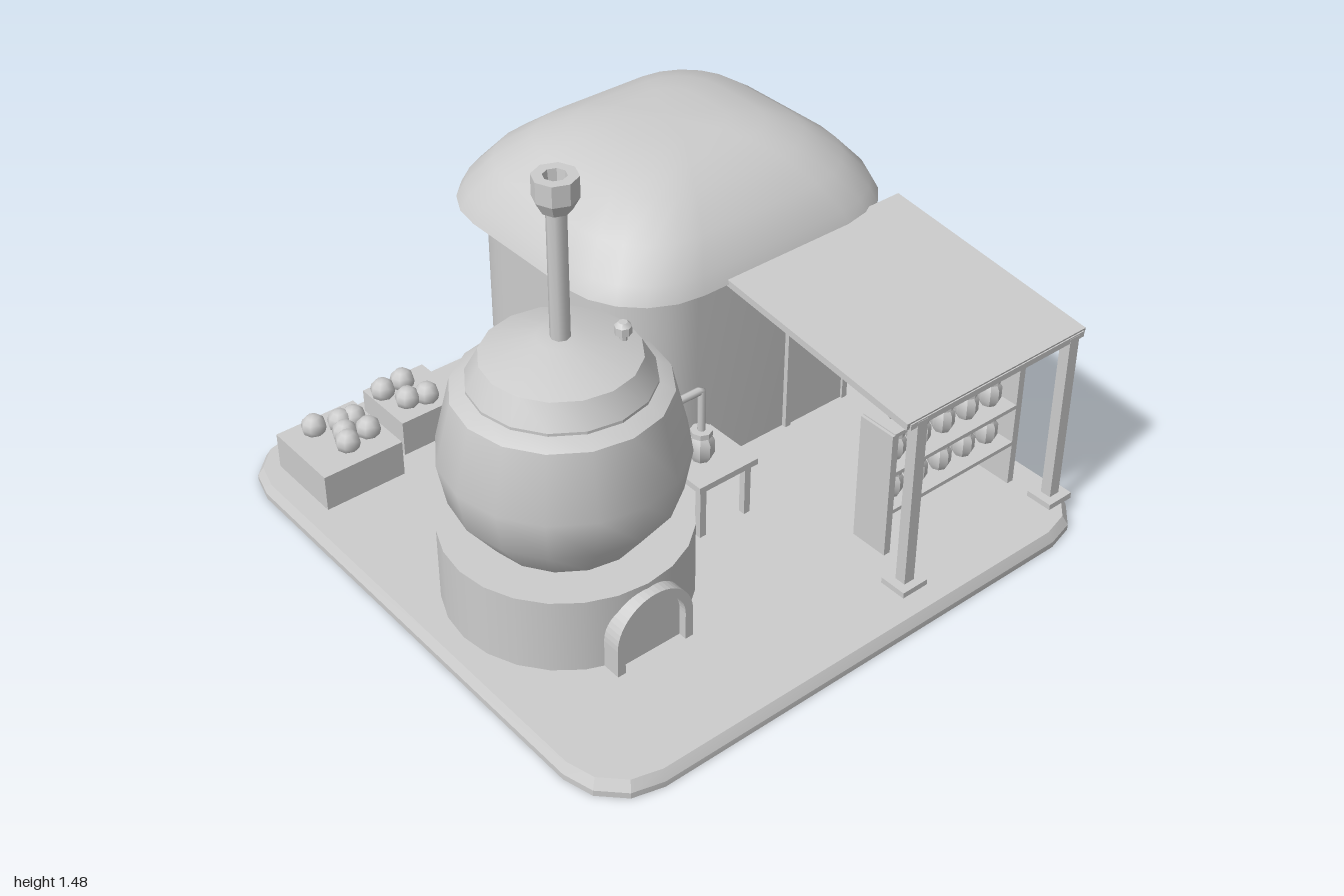
import * as THREE from 'three';
import { toCreasedNormals } from 'three/addons/utils/BufferGeometryUtils.js';

const clay = new THREE.MeshStandardMaterial({ color: 0xcccccc });
clay.name = 'plain grey';

function add(parent, name, geo, x = 0, y = 0, z = 0) {
  const m = new THREE.Mesh(geo, clay);
  m.name = name;
  m.position.set(x, y, z);
  parent.add(m);
  return m;
}

// box given by its minimum and maximum corners
function slab(parent, name, x0, x1, y0, y1, z0, z1) {
  return add(parent, name, new THREE.BoxGeometry(x1 - x0, y1 - y0, z1 - z0),
    (x0 + x1) / 2, (y0 + y1) / 2, (z0 + z1) / 2);
}

// stack of rounded rectangles [y, half width, half depth, corner radius], capped
function loft(sections, steps, crease) {
  const pos = [], idx = [], n = 4 * (steps + 1);
  for (const [y, hx, hz, r] of sections) {
    for (let q = 0; q < 4; q++) for (let s = 0; s <= steps; s++) {
      const a = (q + s / steps) * Math.PI / 2;
      const sx = q === 0 || q === 3 ? 1 : -1, sz = q < 2 ? 1 : -1;
      pos.push(sx * (hx - r) + r * Math.cos(a), y, sz * (hz - r) + r * Math.sin(a));
    }
  }
  const last = sections.length - 1;
  for (let k = 0; k < last; k++) for (let i = 0; i < n; i++) {
    const a = k * n + i, b = k * n + (i + 1) % n;
    idx.push(a, a + n, b, b, a + n, b + n);
  }
  pos.push(0, sections[0][0], 0, 0, sections[last][0], 0);
  const bottom = (last + 1) * n, top = bottom + 1;
  for (let i = 0; i < n; i++) {
    const j = (i + 1) % n;
    idx.push(bottom, i, j, top, last * n + j, last * n + i);
  }
  const g = new THREE.BufferGeometry();
  g.setAttribute('position', new THREE.Float32BufferAttribute(pos, 3));
  g.setIndex(idx);
  return toCreasedNormals(g, crease);
}

function lathe(points, sides, crease = 0.6) {
  const g = new THREE.LatheGeometry(points.map(p => new THREE.Vector2(...p)), sides);
  return toCreasedNormals(g, crease);
}

// arch-topped outline standing on y = 0
function archPath(target, r, straight) {
  target.moveTo(r, 0);
  target.lineTo(r, straight);
  target.absarc(0, straight, r, 0, Math.PI, false);
  target.lineTo(-r, 0);
  target.closePath();
  return target;
}

// arch frame with a recessed panel
function archDoor(parent, name, R, r, straight, depth, x, y, z) {
  const g = new THREE.Group();
  g.name = name;
  g.position.set(x, y, z);
  parent.add(g);
  const frame = archPath(new THREE.Shape(), R, straight);
  frame.holes.push(archPath(new THREE.Path(), r, straight));
  const opts = { bevelEnabled: false, curveSegments: 12 };
  add(g, 'archFrame', new THREE.ExtrudeGeometry(frame, { ...opts, depth }));
  add(g, 'archPanel', new THREE.ExtrudeGeometry(archPath(new THREE.Shape(), r, straight), { ...opts, depth: depth * 0.6 }));
  return g;
}

const jarGeo = lathe([[0, 0], [0.026, 0], [0.038, 0.025], [0.038, 0.065], [0.027, 0.083],
  [0.032, 0.083], [0.032, 0.1], [0, 0.1]], 8);

export function createModel() {
  const model = new THREE.Group();
  model.name = 'potionBrewery';
  const part = name => {
    const g = new THREE.Group();
    g.name = name;
    model.add(g);
    return g;
  };

  // ground plate
  add(model, 'groundPlate', loft([[0, 0.985, 0.985, 0.2], [0.02, 0.985, 0.985, 0.2], [0.052, 0.968, 0.968, 0.19]], 3, 0.3),
    -0.015, 0, -0.005);

  // house with rounded walls and domed roof
  const house = part('house');
  add(house, 'walls', loft([[0.05, 0.525, 0.465, 0.25], [0.8, 0.525, 0.465, 0.25]], 8, 0.6), 0.395, 0, -0.44);
  add(house, 'roof', loft([[0.775, 0.605, 0.542, 0.3], [0.83, 0.58, 0.518, 0.29], [0.92, 0.505, 0.45, 0.27],
    [1.0, 0.395, 0.345, 0.22], [1.04, 0.28, 0.25, 0.16], [1.058, 0.16, 0.16, 0.09]], 5, 0.75), 0.395, 0, -0.453);
  archDoor(house, 'door', 0.14, 0.118, 0.45, 0.022, 0.635, 0.05, 0.02);
  add(house, 'doorKnob', new THREE.SphereGeometry(0.013, 8, 6), 0.705, 0.31, 0.045);

  // square side window
  const sideWindow = new THREE.Group();
  sideWindow.name = 'sideWindow';
  house.add(sideWindow);
  slab(sideWindow, 'windowPane', 0.915, 0.924, 0.38, 0.64, -0.57, -0.33);
  for (const z of [-0.58, -0.335]) slab(sideWindow, 'windowJamb', 0.91, 0.937, 0.365, 0.65, z, z + 0.015);
  for (const y of [0.365, 0.635]) slab(sideWindow, 'windowRail', 0.91, 0.94, y, y + 0.018, -0.58, -0.32);

  // round back window
  add(house, 'roundWindowFrame', new THREE.TorusGeometry(0.1, 0.016, 6, 20), 0.395, 0.52, -0.907);
  add(house, 'roundWindowPane', new THREE.CylinderGeometry(0.1, 0.1, 0.008, 20), 0.395, 0.52, -0.907)
    .rotation.x = Math.PI / 2;

  // still: stone stove, pot, lid and chimney
  const still = part('still');
  still.position.set(-0.53, 0, 0.192);
  add(still, 'stove', new THREE.CylinderGeometry(0.385, 0.385, 0.255, 24), 0, 0.18, 0);
  archDoor(still, 'stoveMouth', 0.14, 0.112, 0.1, 0.07, 0, 0.05, 0.348);
  add(still, 'pot', lathe([[0, 0.3], [0.25, 0.305], [0.35, 0.44], [0.376, 0.58], [0.325, 0.79],
    [0.27, 0.82], [0, 0.83]], 16, 0.8));
  add(still, 'lid', lathe([[0.278, 0.81], [0.278, 0.825], [0.237, 0.9], [0.07, 0.957], [0, 0.957]], 16, 0.35));
  add(still, 'chimney', new THREE.CylinderGeometry(0.03, 0.03, 0.47, 8), 0, 1.17, 0);
  add(still, 'chimneyCap', lathe([[0.03, 1.37], [0.045, 1.37], [0.067, 1.41], [0.067, 1.476], [0.035, 1.476],
    [0.03, 1.43], [0, 1.43]], 8, 0.3));
  add(still, 'lidValve', lathe([[0.012, 0.9], [0.012, 0.935], [0.026, 0.94], [0.026, 0.965], [0.014, 0.977], [0, 0.977]], 8),
    0.16, 0, 0.08);

  // spout pipe dripping into a jar
  const spout = new THREE.CurvePath();
  const corner = [[-0.2, 0.525], [-0.005, 0.525], [-0.005, 0.375]].map(p => new THREE.Vector3(p[0], p[1], 0.192));
  spout.add(new THREE.LineCurve3(corner[0], corner[1]));
  spout.add(new THREE.LineCurve3(corner[1], corner[2]));
  add(model, 'spoutPipe', new THREE.TubeGeometry(spout, 30, 0.013, 8));

  // small table
  const table = part('sideTable');
  slab(table, 'tableTop', -0.108, 0.128, 0.243, 0.265, 0.08, 0.308);
  for (const x of [-0.092, 0.09]) for (const z of [0.097, 0.268])
    slab(table, 'tableLeg', x, x + 0.024, 0.05, 0.245, z, z + 0.024);
  add(table, 'collectingJar', jarGeo, -0.005, 0.263, 0.192).scale.setScalar(1.12);

  // sloping awning on two posts
  const awning = part('awning');
  const tilt = Math.atan2(0.1, 0.8);
  add(awning, 'awningSheet', new THREE.BoxGeometry(0.76, 0.024, 0.815), 0.568, 0.73, 0.455).rotation.x = tilt;
  slab(awning, 'frontBeam', 0.2, 0.94, 0.665, 0.685, 0.828, 0.864);
  for (const x of [0.247, 0.897]) {
    slab(awning, 'post', x - 0.02, x + 0.02, 0.05, 0.68, 0.827, 0.865);
    slab(awning, 'postFoot', x - 0.05, x + 0.05, 0.05, 0.072, 0.798, 0.892);
  }

  // shelf stand with three rows of jars
  const stand = part('jarStand');
  for (const x of [0.29, 0.845]) slab(stand, 'standSide', x, x + 0.025, 0.05, 0.51, 0.58, 0.715);
  for (const y of [0.205, 0.35, 0.5]) {
    slab(stand, 'shelf', 0.3, 0.86, y, y + 0.014, 0.58, 0.715);
    for (let i = 0; i < 5; i++) add(stand, 'jar', jarGeo, 0.37 + i * 0.105, y + 0.012, 0.648);
  }

  // crates of fruit behind the still
  const fruitGeo = new THREE.SphereGeometry(0.042, 8, 6);
  const crates = [
    [-0.91, -0.62, -0.85, -0.56, [[-0.805, -0.79], [-0.725, -0.76], [-0.68, -0.75], [-0.745, -0.7], [-0.765, -0.65], [-0.675, -0.67]]],
    [-0.565, -0.33, -0.875, -0.64, [[-0.525, -0.815], [-0.445, -0.82], [-0.488, -0.725], [-0.425, -0.705]]],
  ];
  for (const [x0, x1, z0, z1, fruits] of crates) {
    const crate = part('fruitCrate');
    slab(crate, 'crateBox', x0, x1, 0.05, 0.18, z0, z1);
    for (const [x, z] of fruits) add(crate, 'fruit', fruitGeo, x, 0.2, z);
  }
  return model;
}
